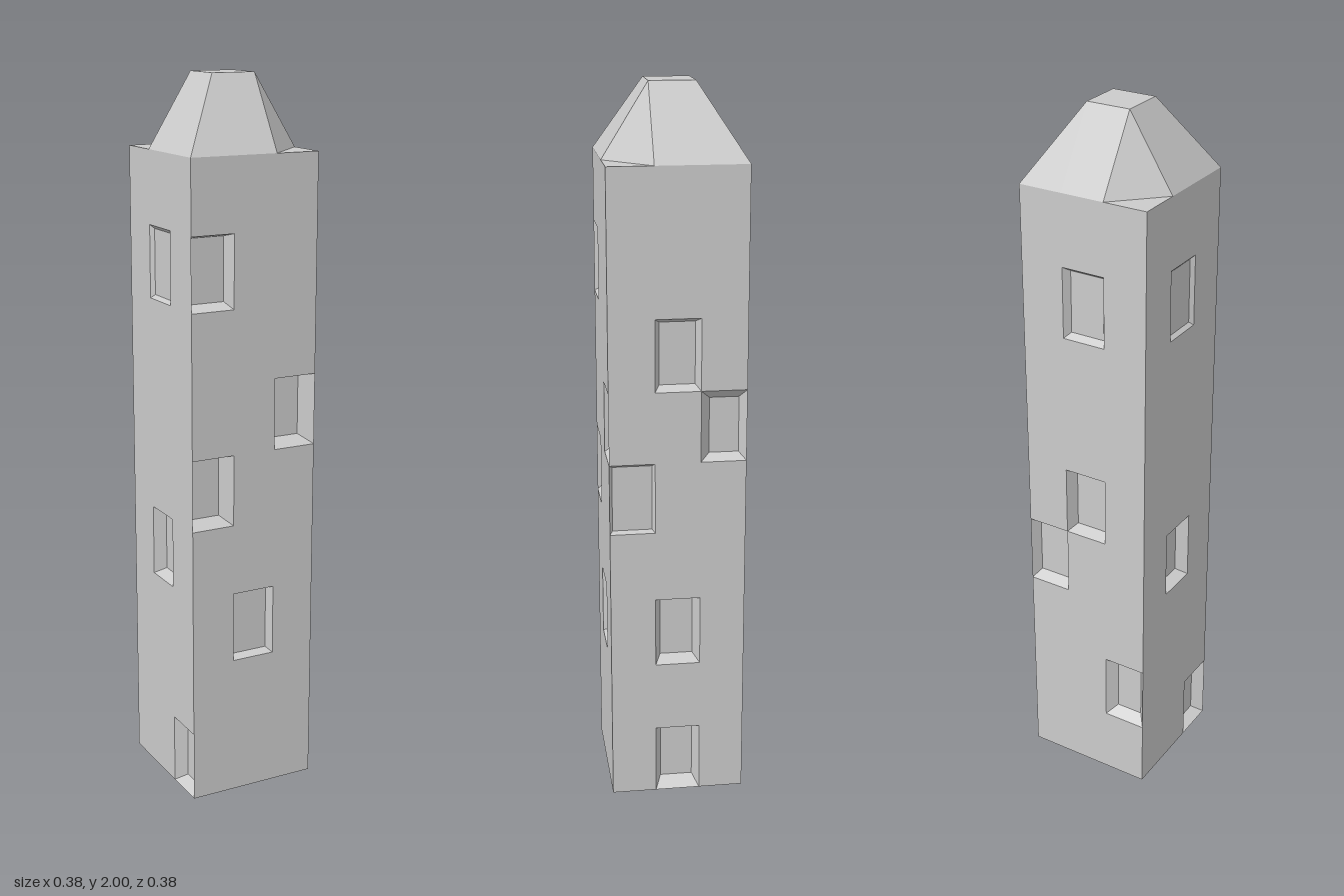
import * as THREE from 'three';

const CELL = 0.125;        // column width
const FLOOR = 0.2;         // storey height
const COLS = 3, FLOORS = 9;
const HALF = CELL * COLS / 2;
const EAVES = FLOOR * FLOORS;

// Flat-shaded mesh from triangles, each given as three [x, y, z] corners
function facetMesh(name, triangles) {
  const geometry = new THREE.BufferGeometry();
  geometry.setAttribute('position', new THREE.Float32BufferAttribute(triangles.flat(2), 3));
  geometry.computeVertexNormals();
  const material = new THREE.MeshStandardMaterial({ color: 0xcccccc, flatShading: true });
  const mesh = new THREE.Mesh(geometry, material);
  mesh.name = name;
  return mesh;
}

const quad = (a, b, c, d) => [[a, b, c], [a, c, d]];

// Corners of a rectangle in the wall plane, counter-clockwise seen from outside
const rect = (l, r, b, t, z) => [[l, b, z], [r, b, z], [r, t, z], [l, t, z]];

// One wall: a grid of flat cells, some recessed as windows.
// Window: [column, floor, depth, inset, sideways shift, upward shift]
function wall(name, angle, windows) {
  const triangles = [];
  for (let row = 0; row < FLOORS; row++) {
    for (let col = 0; col < COLS; col++) {
      const l = -HALF + col * CELL, r = l + CELL;
      const b = row * FLOOR, t = b + FLOOR;
      const outer = rect(l, r, b, t, HALF);
      const win = windows.find(w => w[0] === col && w[1] === row);
      if (!win) {
        triangles.push(...quad(...outer));
        continue;
      }
      const [, , depth, inset, du, dv] = win;
      const inner = rect(l + inset + du, r - inset + du, b + inset + dv, t - inset + dv, HALF - depth);
      triangles.push(...quad(...inner));
      for (let i = 0; i < 4; i++) {
        const j = (i + 1) % 4;
        triangles.push(...quad(outer[i], outer[j], inner[j], inner[i]));
      }
    }
  }
  const mesh = facetMesh(name, triangles);
  mesh.rotation.y = angle;
  return mesh;
}

// Roof: a 3 x 3 grid whose centre cell is raised; all cells split along the same diagonal
function roof() {
  const triangles = [];
  const point = (i, k) => {
    const raised = i > 0 && i < COLS && k > 0 && k < COLS;
    return [-HALF + i * CELL, raised ? EAVES + FLOOR : EAVES, -HALF + k * CELL];
  };
  for (let i = 0; i < COLS; i++) {
    for (let k = 0; k < COLS; k++) {
      triangles.push(...quad(point(i, k + 1), point(i + 1, k + 1), point(i + 1, k), point(i, k))
        .map((tri, n) => n === 0
          ? [point(i, k + 1), point(i + 1, k + 1), point(i + 1, k)]
          : [point(i, k + 1), point(i + 1, k), point(i, k)]));
    }
  }
  return facetMesh('roof', triangles);
}

export function createModel() {
  const model = new THREE.Group();
  model.name = 'tower';

  // Four walls with scattered windows
  model.add(
    wall('frontWall', 0, [
      [0, 7, 0.035, 0.013, 0, 0.004],
      [2, 5, 0.035, 0.017, -0.016, 0.008],
      [0, 4, 0.032, 0.016, -0.014, 0.01],
      [1, 2, 0.025, 0.01, 0, 0],
    ]),
    wall('rightSideWall', Math.PI / 2, [
      [1, 6, 0.022, 0.014, 0, 0.002],
      [2, 5, 0.028, 0.022, 0.004, -0.004],
      [0, 4, 0.007, 0.008, 0, 0.002],
      [1, 2, 0.038, 0.017, 0, 0],
      [1, 0, 0.036, 0.017, 0, 0.01],
    ]),
    wall('backWall', Math.PI, [
      [1, 7, 0.02, 0.013, 0, 0],
      [1, 4, 0.035, 0.014, 0, 0],
      [0, 3, 0.03, 0.015, 0, 0.004],
      [2, 1, 0.03, 0.024, 0, 0],
    ]),
    wall('leftSideWall', -Math.PI / 2, [
      [1, 7, 0.01, 0.01, 0, 0],
      [1, 3, 0.034, 0.014, 0, 0],
      [2, 0, 0.035, 0.016, 0, 0],
    ]),
  );

  // Roof and underside
  model.add(roof());
  model.add(facetMesh('base', quad(
    [-HALF, 0, -HALF], [HALF, 0, -HALF], [HALF, 0, HALF], [-HALF, 0, HALF])));

  return model;
}
